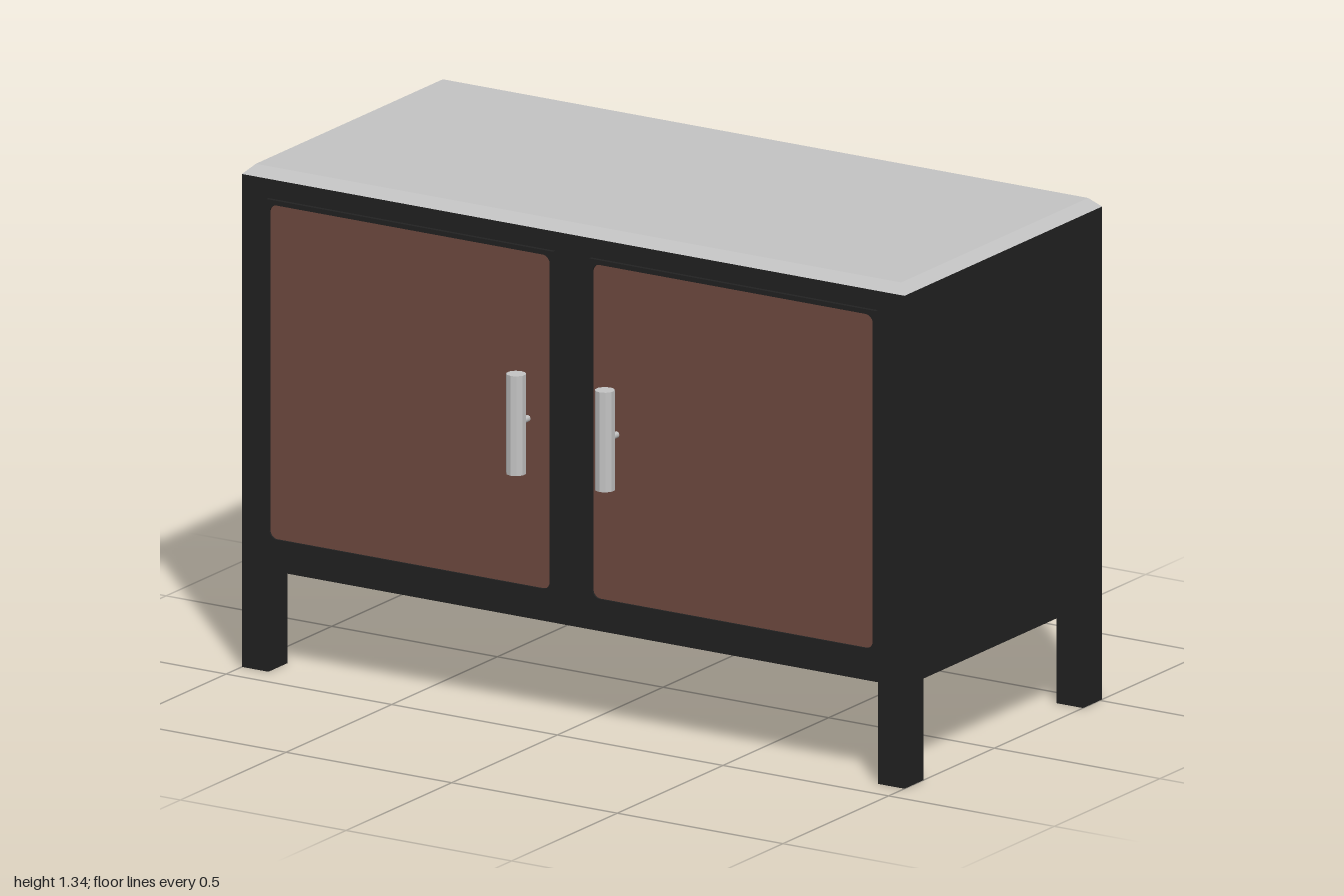
import * as THREE from 'three';

export function createModel() {
  const model = new THREE.Group();
  const frameBlack = new THREE.MeshStandardMaterial({ color: 0x222222 });
  frameBlack.name = 'frame black';
  const panelBrown = new THREE.MeshStandardMaterial({ color: 0x704a40 });
  panelBrown.name = 'panel brown';
  const paleGrey = new THREE.MeshStandardMaterial({ color: 0xc4c4c4 });
  paleGrey.name = 'pale grey';

  const BACK = -0.51, FRONT = 0.425, DEPTH = FRONT - BACK, MID_Z = (FRONT + BACK) / 2;
  const BOTTOM = 0.27, TOP = 1.31;

  function add(name, geometry, material, x, y, z, parent = model) {
    const mesh = new THREE.Mesh(geometry, material);
    mesh.name = name;
    mesh.position.set(x, y, z);
    parent.add(mesh);
    return mesh;
  }

  // Rounded rectangle outline centred on the origin
  function roundedRect(w, h, r, Type) {
    const s = new Type(), x = w / 2, y = h / 2;
    s.moveTo(-x + r, -y);
    s.lineTo(x - r, -y);
    s.absarc(x - r, -y + r, r, -Math.PI / 2, 0);
    s.lineTo(x, y - r);
    s.absarc(x - r, y - r, r, 0, Math.PI / 2);
    s.lineTo(-x + r, y);
    s.absarc(-x + r, y - r, r, Math.PI / 2, Math.PI);
    s.lineTo(-x, -y + r);
    s.absarc(-x + r, -y + r, r, Math.PI, Math.PI * 1.5);
    return s;
  }

  // Cabinet body
  add('body', new THREE.BoxGeometry(2, TOP - BOTTOM, DEPTH), frameBlack, 0, (TOP + BOTTOM) / 2, MID_Z);

  // Legs flush with the body corners
  for (const side of [-1, 1]) {
    for (const z of [FRONT - 0.045, BACK + 0.045]) {
      add('leg', new THREE.BoxGeometry(0.08, BOTTOM, 0.09), frameBlack, side * 0.96, BOTTOM / 2, z);
    }
  }

  // Worktop with chamfered sides: upper corners pulled inward
  const slab = new THREE.BoxGeometry(2, 0.025, DEPTH).toNonIndexed();
  const p = slab.attributes.position;
  for (let i = 0; i < p.count; i++) {
    if (p.getY(i) > 0) {
      p.setX(i, p.getX(i) - Math.sign(p.getX(i)) * 0.026);
      p.setZ(i, p.getZ(i) - Math.sign(p.getZ(i)) * 0.025);
    }
  }
  slab.computeVertexNormals();
  add('worktop', slab, paleGrey, 0, TOP + 0.0125, MID_Z);

  // Doors: thin rim, inset panel and bar handle, mirrored about the centre
  const rimShape = new THREE.Shape([
    new THREE.Vector2(-0.4325, -0.4565), new THREE.Vector2(0.4325, -0.4565),
    new THREE.Vector2(0.4325, 0.4565), new THREE.Vector2(-0.4325, 0.4565),
  ]);
  rimShape.holes.push(roundedRect(0.846, 0.888, 0.022, THREE.Path));
  const rimGeometry = new THREE.ExtrudeGeometry(rimShape, { depth: 0.01, bevelEnabled: false, curveSegments: 6 });
  const panelGeometry = new THREE.ShapeGeometry(roundedRect(0.846, 0.888, 0.022, THREE.Shape), 6);
  const barGeometry = new THREE.CylinderGeometry(0.026, 0.026, 0.265, 10).toNonIndexed();
  barGeometry.computeVertexNormals();
  const stemGeometry = new THREE.CylinderGeometry(0.009, 0.009, 0.04, 8).rotateX(Math.PI / 2);

  for (const side of [-1, 1]) {
    const door = new THREE.Group();
    door.name = side < 0 ? 'rightDoor' : 'leftDoor';
    model.add(door);
    add('doorRim', rimGeometry, frameBlack, side * 0.4875, 0.8025, FRONT, door);
    add('doorPanel', panelGeometry, panelBrown, side * 0.4875, 0.8025, FRONT + 0.005, door);
    add('handleBar', barGeometry, paleGrey, side * 0.134, 0.8025, 0.485, door);
    add('handleStem', stemGeometry, paleGrey, side * 0.134, 0.8025, 0.447, door);
  }
  return model;
}
